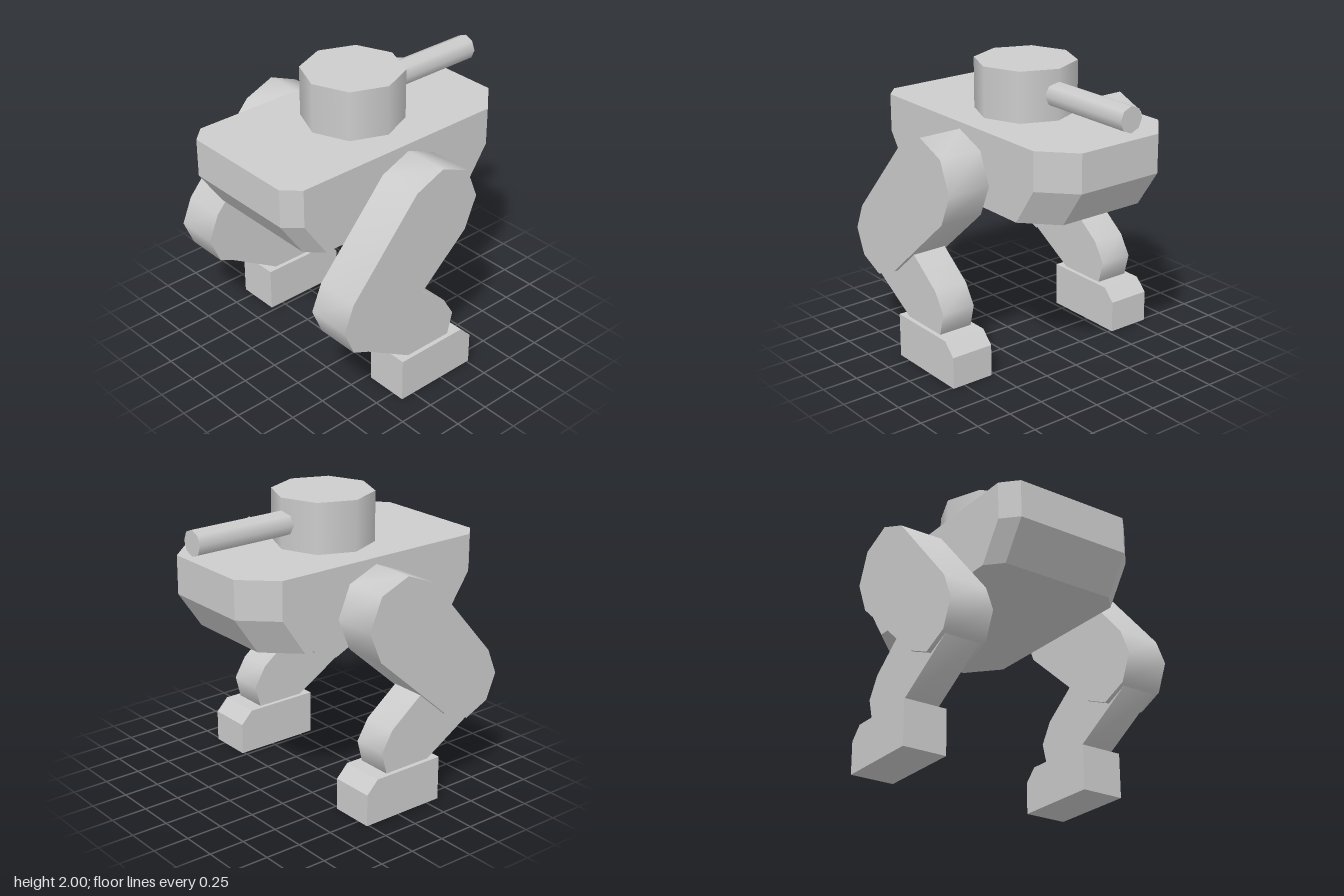
import * as THREE from 'three';
import { toCreasedNormals } from 'three/addons/utils/BufferGeometryUtils.js';
import { ConvexGeometry } from 'three/addons/geometries/ConvexGeometry.js';

const grey = new THREE.MeshStandardMaterial({ color: 0xcccccc });
grey.name = 'plain grey';

function part(name, geometry, parent) {
  const mesh = new THREE.Mesh(geometry, grey);
  mesh.name = name;
  parent.add(mesh);
  return mesh;
}

// Slab from a side profile of [z, y] points, centred on x = 0
function slab(profile, width, crease) {
  const shape = new THREE.Shape(profile.map(([z, y]) => new THREE.Vector2(z, y)));
  const geometry = new THREE.ExtrudeGeometry(shape, { depth: width, bevelEnabled: false });
  geometry.rotateY(-Math.PI / 2).translate(width / 2, 0, 0);
  return toCreasedNormals(geometry, crease);
}

// Hull: chamfered plan, upright upper band, nose and tail drawn in at the belly
function hullGeometry() {
  const plan = [[0.41, 0.98], [0.51, 0.875], [0.51, -0.68], [0.31, -0.895]];
  const points = [];
  for (const [y, inset] of [[1.66, 0], [1.4, 0], [1.15, 0.17]]) {
    for (const [x, z] of plan) {
      for (const side of [-1, 1]) {
        points.push(new THREE.Vector3(side * x, y, z - Math.sign(z) * inset));
      }
    }
  }
  return new ConvexGeometry(points);
}

const thigh = [
  [0.045, 1.625], [0.26, 1.537], [0.77, 0.96], [0.845, 0.78], [0.77, 0.6],
  [0.59, 0.52], [0.4, 0.6], [-0.17, 1.105], [-0.26, 1.32], [-0.17, 1.537],
];
const shin = [
  [0.745, 0.588], [0.28, 0.31], [0.05, 0.22], [-0.08, 0.305], [-0.12, 0.46],
  [-0.035, 0.6], [0.2, 0.78], [0.5, 1.01], [0.66, 0.95], [0.77, 0.75],
];
const foot = [[0.35, 0], [0.35, 0.307], [-0.18, 0.307], [-0.265, 0.22], [-0.265, 0]];

export function createModel() {
  const model = new THREE.Group();
  model.name = 'walker';

  part('hull', hullGeometry(), model);

  // Turret and its rear-pointing barrel
  part('turret', new THREE.CylinderGeometry(0.34, 0.34, 0.34, 8), model).position.set(0, 1.83, 0.04);
  const barrel = new THREE.CylinderGeometry(0.086, 0.086, 0.78, 8).rotateX(-Math.PI / 2);
  part('barrel', barrel, model).position.set(0, 1.83, -0.59);

  // Two matching legs
  for (const side of [-1, 1]) {
    const leg = new THREE.Group();
    leg.name = side > 0 ? 'leftLeg' : 'rightLeg';
    leg.position.x = side * 0.682;
    part('thigh', slab(thigh, 0.305, 1), leg);
    part('shin', slab(shin, 0.244, 1), leg);
    part('foot', slab(foot, 0.305, 0.3), leg);
    model.add(leg);
  }
  return model;
}
